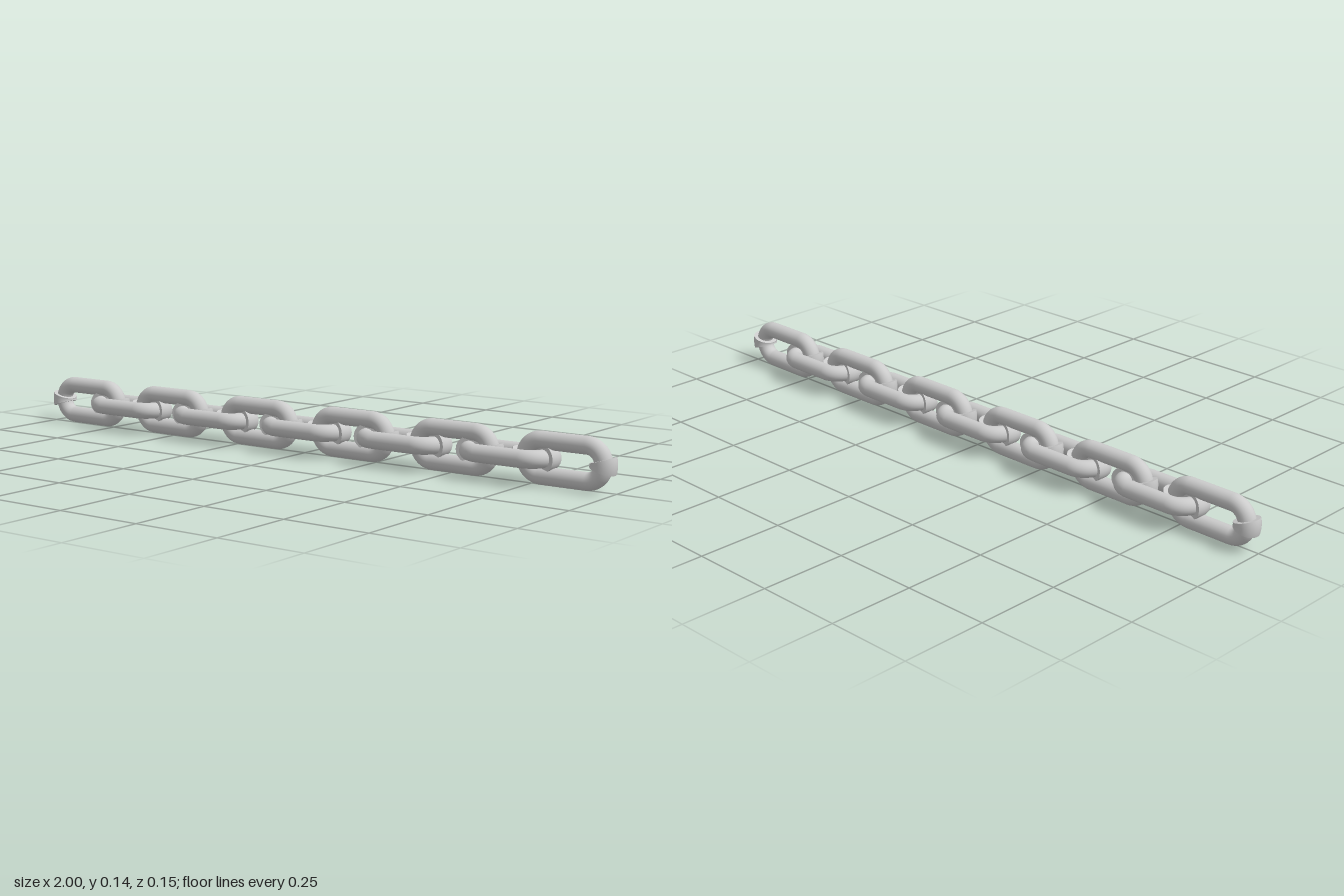
import * as THREE from 'three';
import { mergeGeometries } from 'three/addons/utils/BufferGeometryUtils.js';

const WIRE = 0.0245;     // wire radius of a link
const BEND = 0.0475;     // radius of the end bends, to the wire's middle
const HALF = 0.0684;     // half length of the straight sides
const COLLAR = 0.0366;   // radius of the weld collars
const PITCH = 0.339;     // distance between links of the same orientation
const HEIGHT = 0.0725;   // axis of the chain above the ground

// Closed stadium path of a link, in the XY plane
class LinkPath extends THREE.Curve {
  getPoint(t, target = new THREE.Vector3()) {
    const side = 2 * HALF, arc = Math.PI * BEND;
    let s = (t % 1) * 2 * (side + arc), sign = 1;
    if (s >= side + arc) { s -= side + arc; sign = -1; }
    if (s < side) return target.set(sign * (HALF - s), sign * BEND, 0);
    const a = Math.PI / 2 + (s - side) / BEND;
    return target.set(sign * (-HALF + BEND * Math.cos(a)), sign * BEND * Math.sin(a), 0);
  }
}

// Thick section of the end bend, closed with flat caps
function collarGeometry() {
  const arc = 0.58;
  const band = new THREE.TorusGeometry(BEND, COLLAR, 28, 8, arc).rotateZ(-arc / 2);
  const caps = [1, -1].map((s) => new THREE.CircleGeometry(COLLAR, 28)
    .rotateX(-s * Math.PI / 2).translate(BEND, 0, 0).rotateZ(s * arc / 2));
  return mergeGeometries([band, ...caps]).translate(HALF, 0, 0);
}

export function createModel() {
  const chain = new THREE.Group();
  chain.name = 'chain';
  const material = new THREE.MeshStandardMaterial({ color: 0xcccccc });
  const wire = new THREE.TubeGeometry(new LinkPath(), 96, WIRE, 24, true);
  const collar = collarGeometry();

  // Eleven links, alternately upright and flat
  for (let i = 0; i < 11; i++) {
    const flat = i % 2 === 1;
    const link = new THREE.Group();
    link.name = flat ? 'flatLink' : 'uprightLink';

    const body = new THREE.Mesh(wire, material);
    body.name = 'linkWire';
    link.add(body);

    // Collar at either end of the link
    for (const turn of [0, Math.PI]) {
      const ring = new THREE.Mesh(collar, material);
      ring.name = 'weldCollar';
      ring.rotation.z = turn;
      link.add(ring);
    }

    link.rotation.x = flat ? Math.PI / 2 : 0;
    link.position.set((i - 5) * PITCH / 2, HEIGHT, 0);
    chain.add(link);
  }

  // The chain lies very slightly askew
  chain.rotation.y = -0.005;
  const model = new THREE.Group();
  model.name = 'chainModel';
  model.add(chain);
  return model;
}
